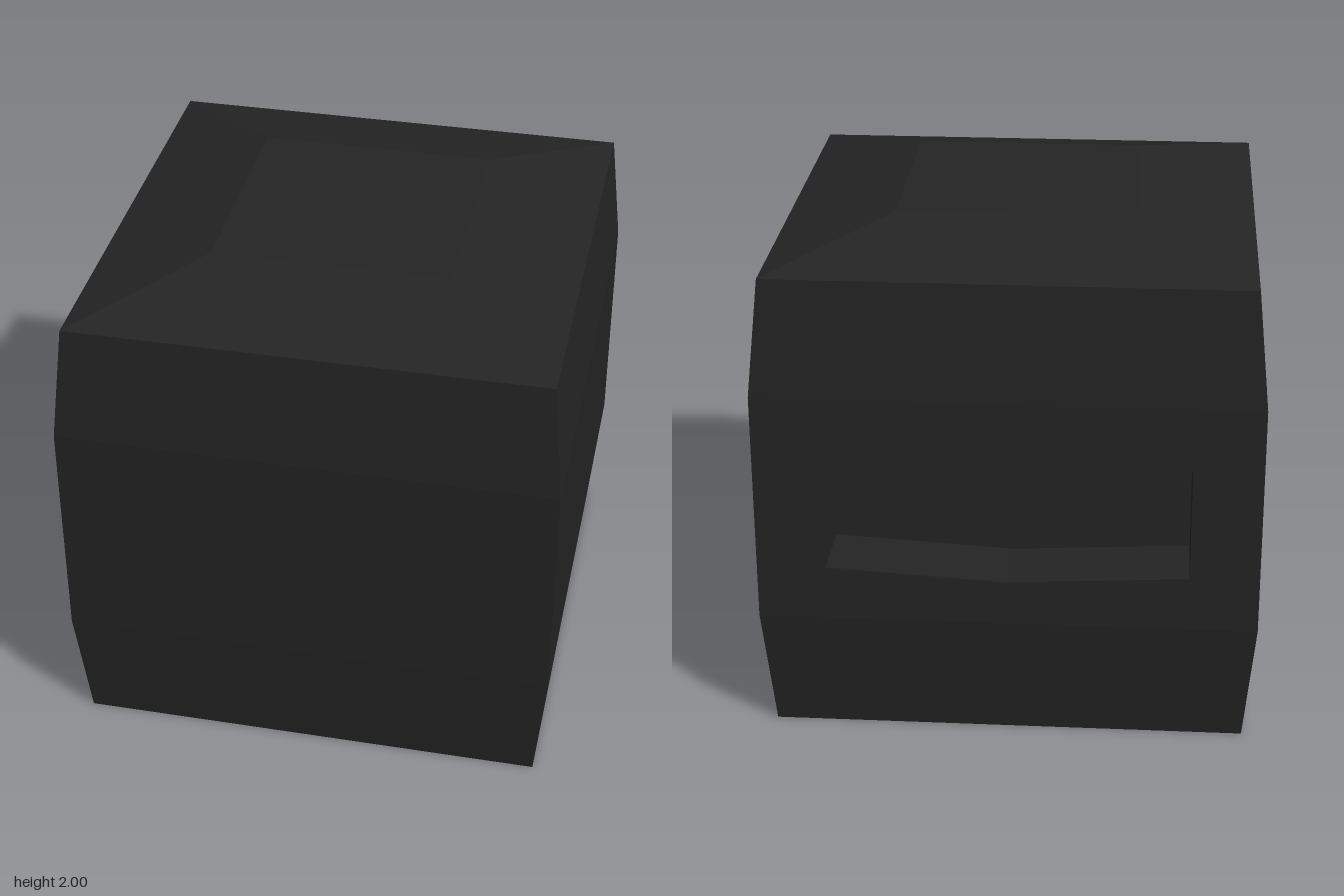
import * as THREE from 'three';

const charcoal = new THREE.MeshStandardMaterial({ color: 0x242424 });
charcoal.name = 'charcoal';

// Give every face its own flat normal and wrap it in a named mesh
function part(name, geometry) {
  const flat = geometry.index ? geometry.toNonIndexed() : geometry;
  flat.computeVertexNormals();
  const mesh = new THREE.Mesh(flat, charcoal);
  mesh.name = name;
  return mesh;
}

// Square band between two heights; half widths are measured to the flats
function band(name, y0, half0, y1, half1, sides = 4, start = Math.PI / 4) {
  const geometry = new THREE.CylinderGeometry(
    half1 * Math.SQRT2, half0 * Math.SQRT2, y1 - y0, sides, 1, true, start, sides * Math.PI / 2);
  return part(name, geometry.translate(0, (y0 + y1) / 2, 0));
}

function cap(name, half, y, tilt) {
  return part(name, new THREE.PlaneGeometry(half * 2, half * 2).rotateX(tilt).translate(0, y, 0));
}

export function createModel() {
  const model = new THREE.Group();
  model.name = 'bulgedBox';

  const wide = 0.975, narrow = 0.93, lid = 0.465;
  const low = 0.49, high = 1.42, shoulder = 1.88, top = 2;
  const depth = 0.285;

  // Outer shell; the middle band leaves its back side open for the slotted panel
  model.add(
    band('lowerBody', 0, narrow, low, wide),
    band('middleBody', low, wide, high, wide, 3, Math.PI * 1.25),
    band('upperBody', high, wide, shoulder, narrow),
    band('slopedTop', shoulder, narrow, top, lid),
    cap('flatTop', lid, top, -Math.PI / 2),
    cap('base', narrow, 0, Math.PI / 2),
  );

  // Slot outline, counterclockwise, pinched at both ends
  const outline = [
    [-0.705, 0.71], [0, 0.67], [0.705, 0.71],
    [0.705, 1.17], [0, 1.25], [-0.705, 1.17],
  ].map(([x, y]) => new THREE.Vector2(x, y));

  // Back panel with the slot cut through it
  const panel = new THREE.Shape([
    new THREE.Vector2(-wide, low), new THREE.Vector2(wide, low),
    new THREE.Vector2(wide, high), new THREE.Vector2(-wide, high),
  ]);
  panel.holes.push(new THREE.Path(outline));
  model.add(part('backPanel',
    new THREE.ShapeGeometry(panel).rotateY(Math.PI).translate(0, 0, -wide)));

  // Recess floor
  model.add(part('slotFloor',
    new THREE.ShapeGeometry(new THREE.Shape(outline)).rotateY(Math.PI).translate(0, 0, depth - wide)));

  // Recess walls, facing into the slot
  const walls = [];
  outline.forEach((a, i) => {
    const b = outline[(i + 1) % outline.length];
    const outer = -wide, inner = depth - wide;
    walls.push(
      a.x, a.y, outer, a.x, a.y, inner, b.x, b.y, inner,
      a.x, a.y, outer, b.x, b.y, inner, b.x, b.y, outer);
  });
  const wallGeometry = new THREE.BufferGeometry();
  wallGeometry.setAttribute('position', new THREE.Float32BufferAttribute(walls, 3));
  model.add(part('slotWalls', wallGeometry));

  return model;
}
